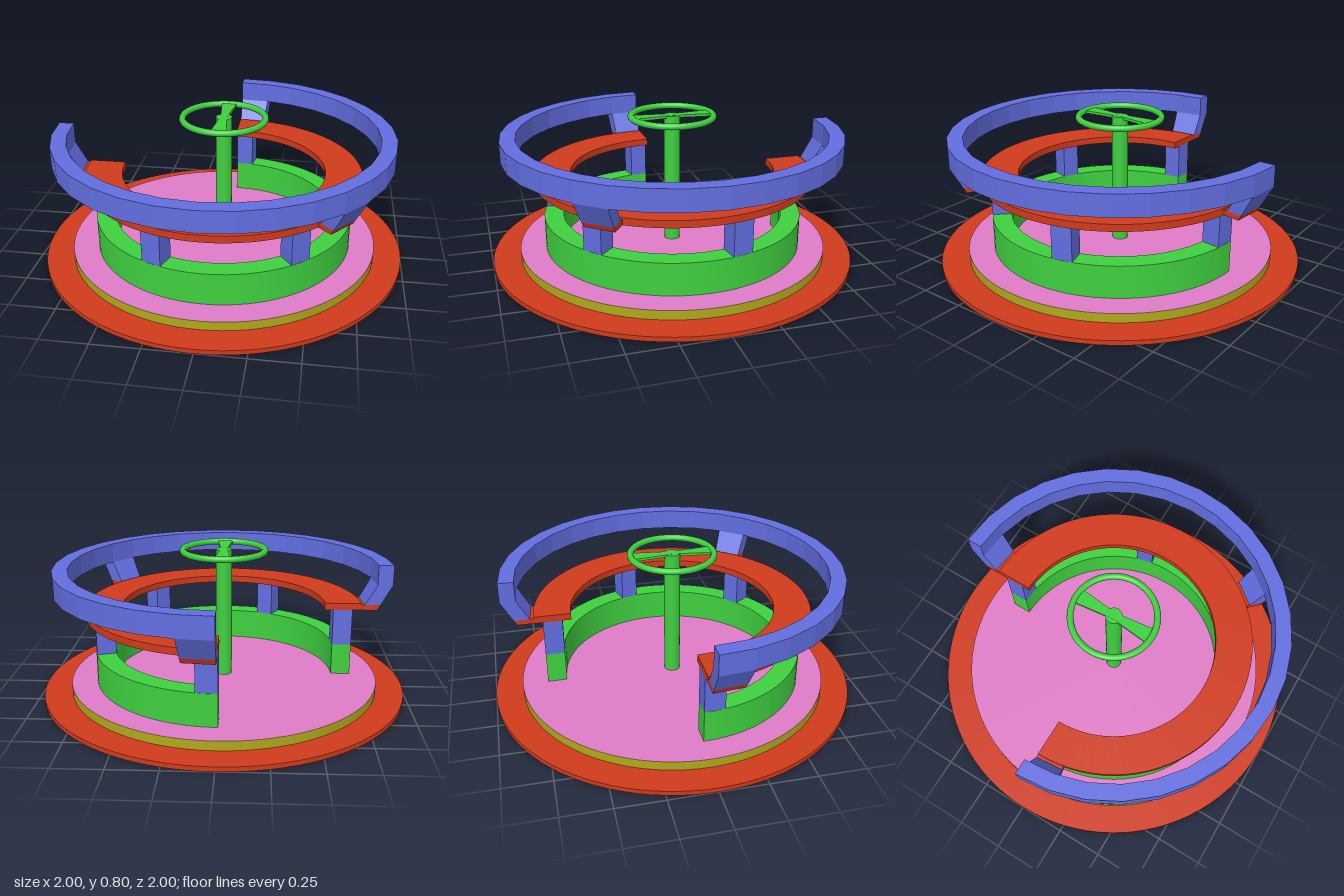
import * as THREE from 'three';
import { toCreasedNormals } from 'three/addons/utils/BufferGeometryUtils.js';

const paint = (color, flatShading = false) => new THREE.MeshStandardMaterial({ color, flatShading });

// Sweeps a convex counterclockwise profile of [radius, height] points around y.
// Degrees start at the back (-z) and run over the left (+x) side to the front.
function sector(profile, from, to, segments) {
  const n = profile.length, positions = [], index = [];
  for (let i = 0; i <= segments; i++) {
    const phi = THREE.MathUtils.degToRad(180 - to + ((to - from) * i) / segments);
    for (const [r, y] of profile) positions.push(r * Math.sin(phi), y, r * Math.cos(phi));
  }
  for (let i = 0; i < segments; i++) {
    for (let j = 0; j < n; j++) {
      const a = i * n + j, b = i * n + ((j + 1) % n);
      index.push(a, a + n, b, b, a + n, b + n);
    }
  }
  const last = segments * n;
  for (let j = 1; j < n - 1; j++) {
    index.push(0, j, j + 1, last, last + j + 1, last + j);
  }
  const geometry = new THREE.BufferGeometry();
  geometry.setAttribute('position', new THREE.Float32BufferAttribute(positions, 3));
  geometry.setIndex(index);
  return toCreasedNormals(geometry, 0.5);
}

const band = (r0, r1, y0, y1) => [[r0, y0], [r1, y0], [r1, y1], [r0, y1]];

export function createModel() {
  const model = new THREE.Group();
  const red = paint(0xd03a1c), green = paint(0x3fd03f), yellow = paint(0xb0a81c);
  const pink = paint(0xe07cc8), blue = paint(0x626ee0, true);

  const add = (name, geometry, material, y = 0, parent = model) => {
    const mesh = new THREE.Mesh(geometry, material);
    mesh.name = name;
    mesh.position.y = y;
    parent.add(mesh);
    return mesh;
  };

  // Ground plate and turntable with a pink floor
  add('groundPlate', new THREE.CylinderGeometry(1, 1, 0.025, 96), red, 0.0125);
  add('turntable', new THREE.CylinderGeometry(0.85, 0.85, 0.05, 96), [yellow, pink, yellow], 0.05);

  // Three-quarter wall, bench and backrest
  add('wall', sector(band(0.605, 0.71, 0.075, 0.25), 0, 270, 60), green);
  add('benchSeat', sector(band(0.557, 0.757, 0.452, 0.49), 0, 270, 60), red);
  add('backrestRail', sector(band(0.84, 0.923, 0.595, 0.707), 0, 270, 24), blue);

  // Posts between wall and bench
  for (const start of [0, 72, 135, 198, 261]) {
    add('seatPost', sector(band(0.605, 0.71, 0.25, 0.452), start, start + 9, 1), blue);
  }

  // Slanted backrest brackets, each on a tab of the seat
  const bracket = [[0.775, 0.48], [0.86, 0.48], [0.923, 0.595], [0.84, 0.595]];
  const tab = [[0.735, 0.452], [0.845, 0.452], [0.86, 0.482], [0.735, 0.482]];
  for (const start of [0, 123.75, 258.75]) {
    add('backrestBracket', sector(bracket, start, start + 11.25, 1), blue);
    add('seatTab', sector(tab, start, start + 11.25, 1), red);
  }

  // Centre pole and hand wheel
  add('centrePole', new THREE.CylinderGeometry(0.044, 0.044, 0.715, 32), green, 0.4325);
  const wheel = new THREE.Group();
  wheel.name = 'handWheel';
  wheel.position.y = 0.784;
  model.add(wheel);
  add('wheelRim', new THREE.TorusGeometry(0.223, 0.0175, 12, 64).rotateX(Math.PI / 2), green, 0, wheel);

  // Two spokes widening toward the rim
  const outline = new THREE.Shape([[-0.018, 0], [0.018, 0], [0.042, 0.215], [-0.042, 0.215]]
    .map(([x, y]) => new THREE.Vector2(x, y)));
  const spoke = new THREE.ExtrudeGeometry(outline, { depth: 0.014, bevelEnabled: false })
    .translate(0, 0, -0.007).rotateX(Math.PI / 2);
  for (const turn of [0, Math.PI]) add('wheelSpoke', spoke, green, 0, wheel).rotation.y = turn;

  return model;
}
